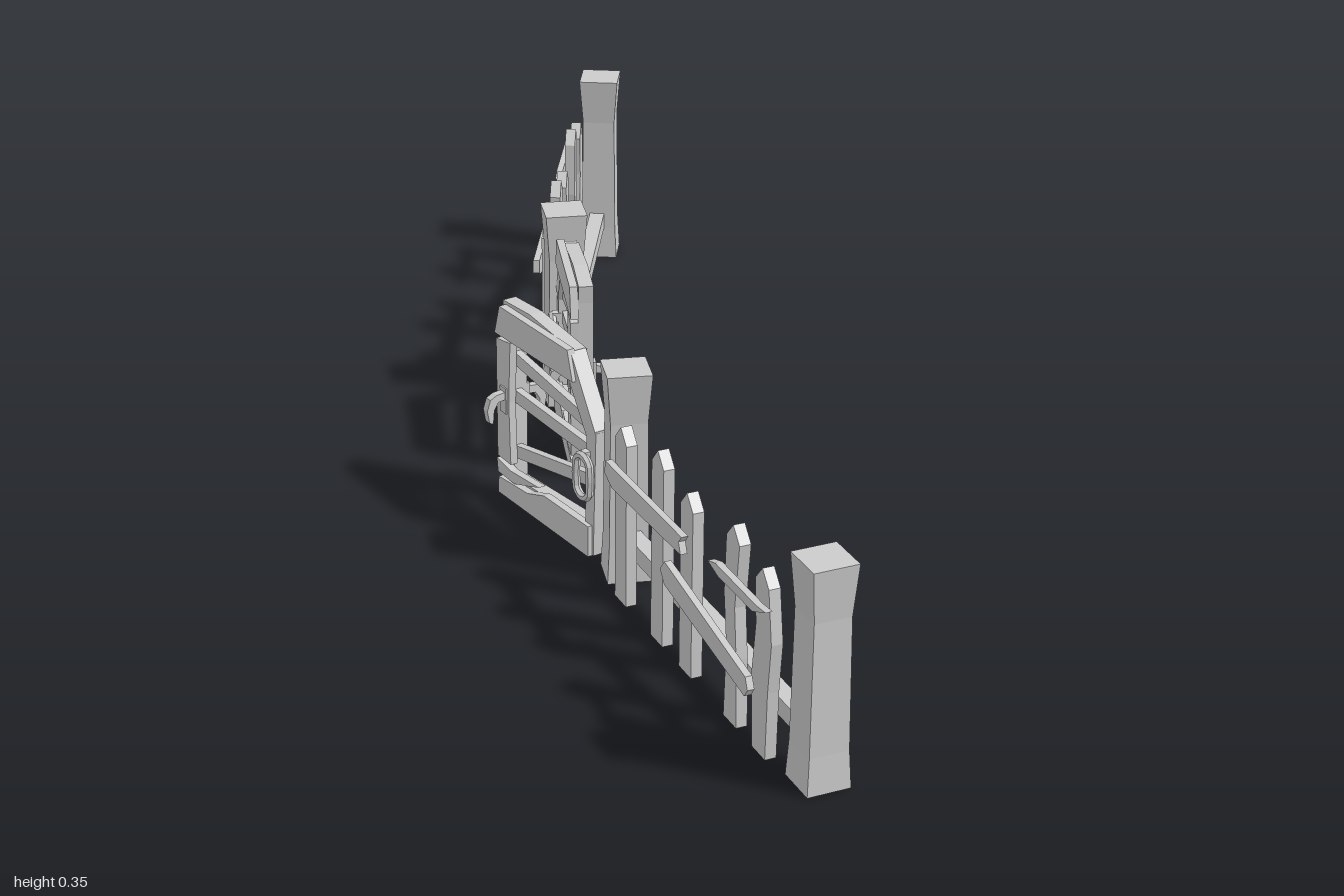
import * as THREE from 'three';

const material = new THREE.MeshStandardMaterial({ color: 0xcccccc, flatShading: true });

function add(group, name, geometry, x = 0, y = 0, z = 0) {
  const mesh = new THREE.Mesh(geometry, material);
  mesh.name = name;
  mesh.position.set(x, y, z);
  group.add(mesh);
  return mesh;
}

// Flat board cut from an outline, centred on depth z
function board(group, name, points, depth, z) {
  const shape = new THREE.Shape(points.map(([x, y]) => new THREE.Vector2(x, y)));
  const geometry = new THREE.ExtrudeGeometry(shape, { depth, bevelEnabled: false });
  geometry.translate(0, 0, -depth / 2);
  return add(group, name, geometry, 0, 0, z);
}

// Square post, flared at head and foot
function post(group, name, x, z) {
  const profile = [[0, 0], [0.034, 0], [0.031, 0.06], [0.029, 0.27], [0.035, 0.352], [0, 0.352]]
    .map(([r, y]) => new THREE.Vector2(r * Math.SQRT2, y));
  const geometry = new THREE.LatheGeometry(profile, 4);
  geometry.rotateY(Math.PI / 4);
  add(group, name, geometry, x, 0, z);
}

// Pointed picket; kink makes it crooked and notched
function picket(group, x, top, kink) {
  const w = 0.021, s = top - 0.024;
  board(group, 'picket', [
    [x - w, 0], [x + w, 0], [x + w - kink * 0.4, 0.11], [x + w - kink * 1.3, 0.19], [x + w, s],
    [x, top], [x - w, s], [x - w - kink * 0.5, 0.2], [x - w + kink * 0.6, 0.12],
  ], 0.018, 0.032);
}

// Fence run: local x goes outward from the inner post
function fence() {
  const g = new THREE.Group();
  g.name = 'fence';
  g.position.set(-0.008, 0, 0.35);
  g.rotation.y = -1.318;
  post(g, 'outerPost', 0.628, -0.003);
  add(g, 'lowerRail', new THREE.BoxGeometry(0.61, 0.029, 0.027), 0.3, 0.0735, 0);
  [[0.05, 0.296, 0], [0.183, 0.318, 0], [0.284, 0.296, 0], [0.436, 0.318, 0.009], [0.529, 0.296, -0.009]]
    .forEach((p) => picket(g, ...p));
  board(g, 'upperPlank', [[0.022, 0.21], [0.05, 0.197], [0.295, 0.204], [0.288, 0.222], [0.298, 0.234],
    [0.05, 0.232], [0.025, 0.232]], 0.011, 0.05);
  board(g, 'diagonalPlank', [[0.225, 0.147], [0.24, 0.128], [0.51, 0.086], [0.52, 0.1], [0.512, 0.118],
    [0.24, 0.166]], 0.011, 0.05);
  board(g, 'brokenPlank', [[0.385, 0.24], [0.42, 0.231], [0.53, 0.232], [0.57, 0.25], [0.54, 0.247],
    [0.41, 0.248]], 0.011, 0.05);
  return g;
}

// Gate leaf: local x runs from hinge to free end, -z is the outer face
function gate(x, z, swing) {
  const g = new THREE.Group();
  g.name = 'gate';
  g.position.set(x, 0, z);
  g.rotation.y = Math.PI / 2 + swing;

  // Frame
  board(g, 'freeStile', [[0.25, 0.006], [0.28, 0.006], [0.278, 0.32], [0.248, 0.32]], 0.025, 0.005);
  board(g, 'hingeStile', [[0.008, 0.006], [0.031, 0.006], [0.027, 0.215], [0, 0.225]], 0.026, 0);
  board(g, 'slopedStile', [[0, 0.222], [0.027, 0.21], [0.092, 0.31], [0.07, 0.335]], 0.028, 0);
  board(g, 'topRail', [[0.07, 0.332], [0.09, 0.306], [0.278, 0.313], [0.28, 0.343], [0.2, 0.347]], 0.024, 0.005);
  board(g, 'bottomRail', [[0.01, 0.006], [0.278, 0.006], [0.278, 0.038], [0.012, 0.054]], 0.024, 0.005);

  // Outer face boards
  board(g, 'topPlank', [[0.055, 0.29], [0.285, 0.288], [0.27, 0.339], [0.07, 0.339]], 0.013, -0.014);
  board(g, 'stilePlank', [[0.24, 0.07], [0.28, 0.072], [0.28, 0.28], [0.238, 0.286], [0.244, 0.18]], 0.013, -0.014);
  board(g, 'bottomPlank', [[0.012, 0.005], [0.28, 0.005], [0.278, 0.034], [0.19, 0.04], [0.14, 0.057],
    [0.012, 0.058]], 0.013, -0.014);
  board(g, 'splinter', [[0.28, 0.042], [0.283, 0.066], [0.24, 0.059], [0.155, 0.065], [0.19, 0.053],
    [0.23, 0.04]], 0.013, -0.014);

  // Fanned bars: height at hinge, height at free end
  [[0.222, 0.255], [0.178, 0.187], [0.132, 0.085]].forEach(([a, b]) => {
    const h = 0.011;
    board(g, 'bar', [[0.012, a - h], [0.26, b - h], [0.26, b + h], [0.012, a + h]], 0.013, 0);
  });

  // Hooked lever handles on both faces
  for (const s of [-1, 1]) {
    const outline = [[0.016, 0.183], [0.035, 0.181], [0.043, 0.168], [0.045, 0.145], [0.052, 0.148],
      [0.056, 0.17], [0.05, 0.188], [0.038, 0.194], [0.016, 0.196]];
    const handle = board(g, 'handle', outline.map(([a, b]) => [a * s, b]), 0.013, 0);
    handle.rotation.y = -Math.PI / 2;
    handle.position.x = 0.258;
    add(g, 'handlePlate', new THREE.BoxGeometry(0.018, 0.045, 0.006), 0.258, 0.18, s * 0.02);
  }

  // Oval ring near the hinge
  const ring = new THREE.TorusGeometry(0.02, 0.0065, 6, 16);
  const p = ring.attributes.position;
  for (let i = 0; i < p.count; i++) p.setY(i, p.getY(i) + Math.sign(Math.round(p.getY(i) * 1e4)) * 0.016);
  add(g, 'ring', ring, 0.022, 0.143, -0.023);
  add(g, 'ringMount', new THREE.BoxGeometry(0.014, 0.016, 0.014), 0.022, 0.178, -0.016);
  return g;
}

// Copy reflected across z = 0, with face winding restored
function mirrored(source) {
  const out = new THREE.Group();
  out.name = source.name;
  source.updateMatrixWorld(true);
  source.traverse((o) => {
    if (!o.isMesh) return;
    const geometry = o.geometry.index ? o.geometry.toNonIndexed() : o.geometry.clone();
    geometry.applyMatrix4(o.matrixWorld);
    const p = geometry.attributes.position, a = new THREE.Vector3(), b = new THREE.Vector3();
    for (let i = 0; i < p.count; i++) p.setZ(i, -p.getZ(i));
    for (let i = 0; i < p.count; i += 3) {
      a.fromBufferAttribute(p, i + 1);
      b.fromBufferAttribute(p, i + 2);
      p.setXYZ(i + 1, b.x, b.y, b.z);
      p.setXYZ(i + 2, a.x, a.y, a.z);
    }
    geometry.computeVertexNormals();
    add(out, o.name, geometry);
  });
  return out;
}

export function createModel() {
  const model = new THREE.Group();
  model.name = 'fenceWithGate';
  const side = new THREE.Group();
  side.name = 'fenceSide';
  post(side, 'innerPost', -0.012, 0.32);
  side.add(fence());
  model.add(side, mirrored(side));
  model.add(gate(-0.04, 0.272, 0.42));
  model.add(mirrored(gate(-0.016, 0.291, 0.04)));
  return model;
}
